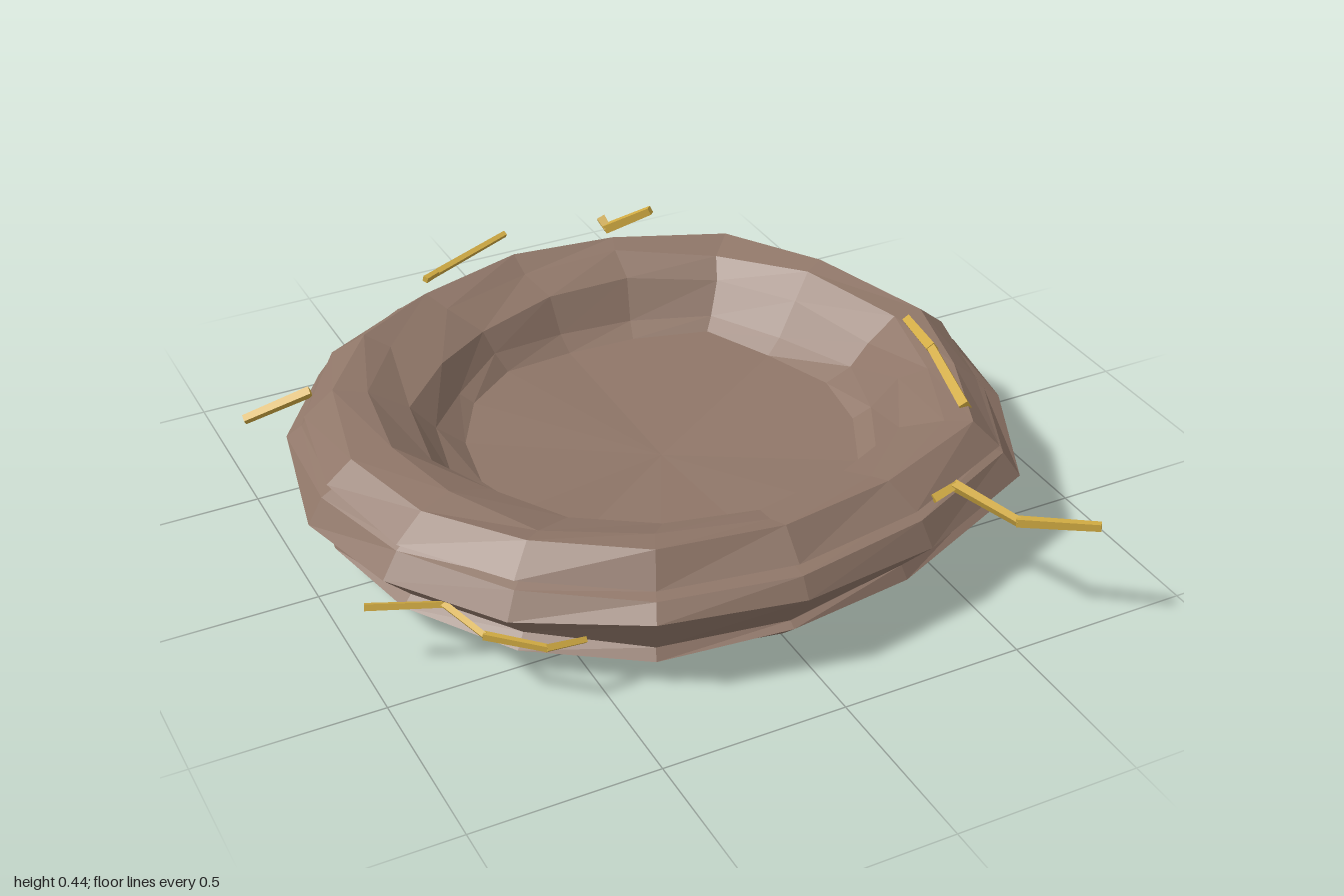
import * as THREE from 'three';
import { mergeGeometries } from 'three/addons/utils/BufferGeometryUtils.js';

const bark = new THREE.MeshStandardMaterial({ color: 0x8f7668, flatShading: true });
bark.name = 'bark brown';
const gold = new THREE.MeshStandardMaterial({ color: 0xd0aa42, flatShading: true });
gold.name = 'straw gold';

// Widest outline of the nest, x and z, clockwise from the back
const outline = [
  [-0.07, -1.0], [0.3, -0.97], [0.66, -0.81], [0.86, -0.48],
  [0.985, -0.07], [0.91, 0.27], [0.76, 0.6], [0.38, 0.77],
  [-0.02, 0.84], [-0.4, 0.77], [-0.7, 0.56], [-0.91, 0.27],
  [-0.99, -0.06], [-0.92, -0.43], [-0.73, -0.71], [-0.44, -0.89],
];
const CENTER_Z = -0.08;

// Rings from the underside, up the wall, over the rim and into the bowl:
// scale of the outline, height, radial wobble, height wobble, depth of the gap at the front
const rings = [
  [0.6, 0.002, 0.02, 0.002, 0],
  [0.87, 0.042, 0.015, 0.01, 0],
  [0.935, 0.082, 0.01, 0.01, 0],
  [0.94, 0.108, 0.01, 0.01, 0.03],
  [1.0, 0.21, 0.0, 0.025, 0],
  [0.96, 0.268, 0.012, 0.012, 0],
  [0.945, 0.278, 0.01, 0.006, 0.03],
  [0.94, 0.29, 0.012, 0.008, 0],
  [0.86, 0.354, 0.02, 0.014, 0],
  [0.775, 0.343, 0.02, 0.014, 0],
  [0.66, 0.29, 0.025, 0.015, 0],
  [0.61, 0.21, 0.02, 0.015, 0],
  [0.55, 0.172, 0.02, 0.008, 0],
];

function makeRandom(seed) {
  return () => {
    seed = (seed * 16807) % 2147483647;
    return (seed / 2147483647) * 2 - 1;
  };
}

// Closed faceted shell made from the rings
function nestGeometry() {
  const random = makeRandom(4721);
  const count = outline.length;
  const positions = [];
  const index = [];
  rings.forEach(([scale, height, wobbleR, wobbleY, gap], r) => {
    const shift = r > 9 ? 0.025 : 0;
    for (const [x, z] of outline) {
      const front = THREE.MathUtils.clamp(0.5 + z * 0.8, 0, 1);
      const s = scale - gap * front + random() * wobbleR;
      positions.push(x * s + shift, height + random() * wobbleY, CENTER_Z + (z - CENTER_Z) * s);
    }
  });
  for (let r = 0; r < rings.length - 1; r++) {
    for (let i = 0; i < count; i++) {
      const a = r * count + i;
      const b = r * count + (i + 1) % count;
      index.push(a, a + count, b, b, a + count, b + count);
    }
  }
  // Underside and bowl floor
  const last = (rings.length - 1) * count;
  const under = positions.length / 3;
  positions.push(0, 0, CENTER_Z, 0.0, 0.145, 0.0);
  for (let i = 0; i < count; i++) {
    const j = (i + 1) % count;
    index.push(under, i, j, under + 1, last + j, last + i);
  }
  const geometry = new THREE.BufferGeometry();
  geometry.setAttribute('position', new THREE.Float32BufferAttribute(positions, 3));
  geometry.setIndex(index);
  const flat = geometry.toNonIndexed();
  flat.computeVertexNormals();
  return flat;
}

// Bent straw: a thin four-sided stick for each stretch of the path
function strawGeometry(points, radius) {
  const up = new THREE.Vector3(0, 1, 0);
  const parts = [];
  for (let i = 0; i < points.length - 1; i++) {
    const a = new THREE.Vector3(...points[i]);
    const b = new THREE.Vector3(...points[i + 1]);
    const direction = b.clone().sub(a);
    const stick = new THREE.CylinderGeometry(radius * 0.85, radius, direction.length() + radius * 0.5, 4);
    stick.applyQuaternion(new THREE.Quaternion().setFromUnitVectors(up, direction.normalize()));
    stick.translate((a.x + b.x) / 2, (a.y + b.y) / 2, (a.z + b.z) / 2);
    parts.push(stick);
  }
  return mergeGeometries(parts);
}

const straws = {
  frontRightStraw: [0.012, [[-0.98, 0.185, 0.33], [-0.8, 0.18, 0.4], [-0.76, 0.18, 0.56], [-0.64, 0.17, 0.66], [-0.54, 0.16, 0.66]]],
  frontLeftStraw: [0.016, [[0.43, 0.295, 0.69], [0.49, 0.315, 0.69], [0.57, 0.285, 0.86], [0.725, 0.302, 0.99]]],
  leftRimStraw: [0.019, [[0.685, 0.352, 0.43], [0.745, 0.376, 0.17], [0.775, 0.368, 0.0]]],
  backRimStraw: [0.012, [[-0.34, 0.355, -0.85], [-0.29, 0.352, -0.88], [-0.05, 0.388, -0.945]]],
  backLeftStraw: [0.018, [[0.262, 0.375, -0.925], [0.268, 0.355, -0.9], [0.365, 0.432, -0.81]]],
  backRightStraw: [0.017, [[-0.8, 0.245, -0.585], [-0.975, 0.182, -0.628]]],
};

export function createModel() {
  const model = new THREE.Group();
  model.name = 'nest';

  const bowl = new THREE.Mesh(nestGeometry(), bark);
  bowl.name = 'nestBowl';
  model.add(bowl);

  // Loose straws poking out of the rim and wall
  for (const [name, [radius, points]] of Object.entries(straws)) {
    const straw = new THREE.Mesh(strawGeometry(points, radius), gold);
    straw.name = name;
    model.add(straw);
  }
  return model;
}
